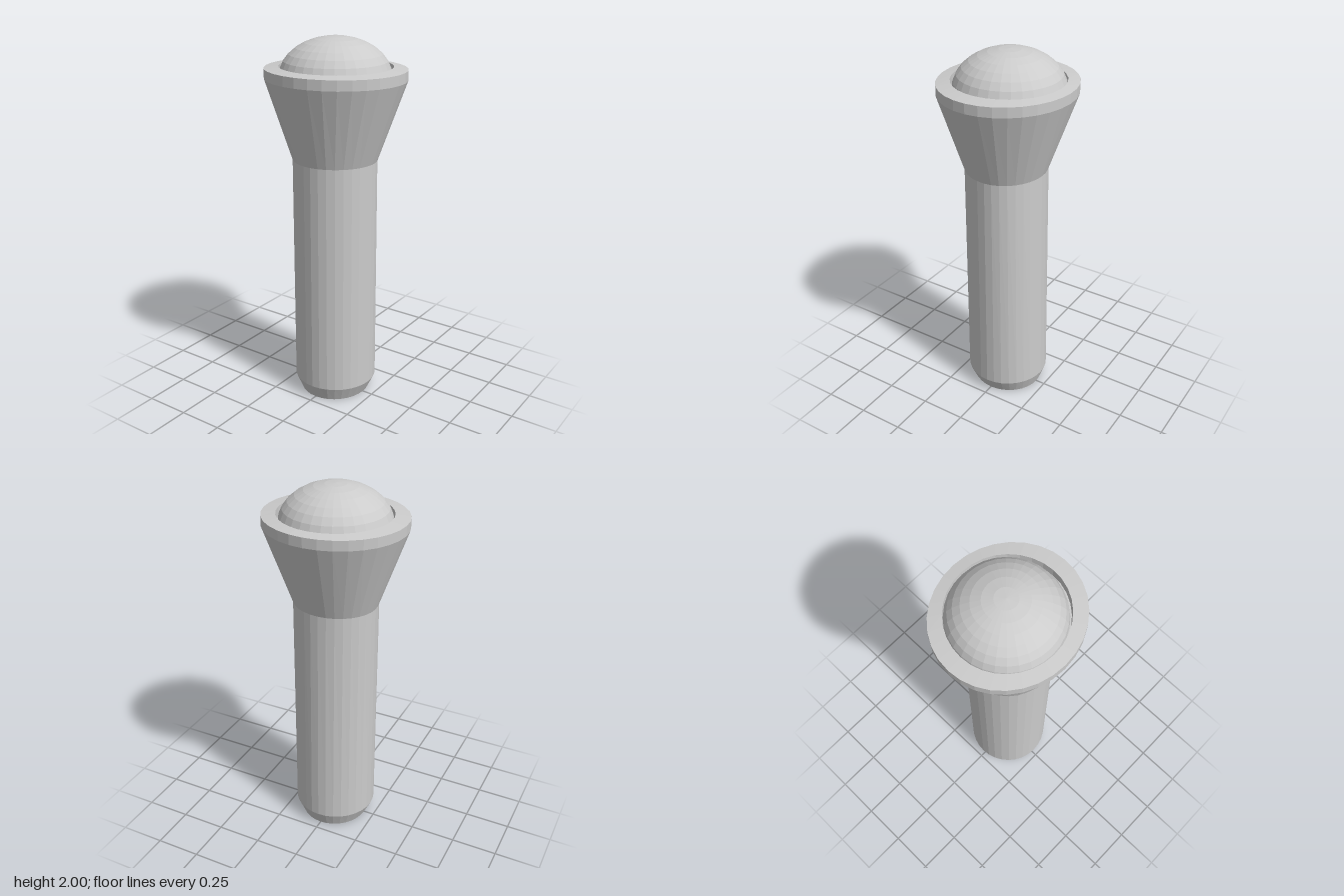
import * as THREE from 'three';

const SIDES = 32;

// Lathed part from rows of [radiusX, y, radiusFront, radiusBack]: each ring gets its own oval
function ovalLathe(name, rows, material) {
  const geometry = new THREE.LatheGeometry(rows.map(([r, y]) => new THREE.Vector2(r, y)), SIDES);
  const pos = geometry.attributes.position;
  for (let i = 0; i < pos.count; i++) {
    const [r, , front, back] = rows[i % rows.length];
    const z = pos.getZ(i);
    if (r > 0) pos.setZ(i, (z / r) * (z > 0 ? front : back));
  }
  geometry.computeVertexNormals();
  const mesh = new THREE.Mesh(geometry, material);
  mesh.name = name;
  return mesh;
}

export function createModel() {
  const group = new THREE.Group();
  group.name = 'handle';
  const material = new THREE.MeshStandardMaterial({ color: 0xcccccc, flatShading: true });

  // Shaft with chamfered foot; its back leans in slightly towards the top
  group.add(ovalLathe('shaft', [
    [0, 0, 0, 0],
    [0.19, 0, 0.2, 0.197],
    [0.229, 0.08, 0.23, 0.226],
    [0.229, 1.36, 0.23, 0.205],
  ], material));

  // Flared head with a short vertical rim and a shallow seat for the dome
  group.add(ovalLathe('flaredHead', [
    [0.229, 1.36, 0.23, 0.205],
    [0.38, 1.785, 0.353, 0.353],
    [0.38, 1.838, 0.353, 0.353],
    [0.299, 1.848, 0.286, 0.297],
    [0.297, 1.8, 0.284, 0.295],
    [0, 1.8, 0, 0],
  ], material));

  // Flattened dome resting in the seat
  const dome = new THREE.Mesh(
    new THREE.SphereGeometry(1, SIDES, 8, 0, Math.PI * 2, 0, Math.PI / 2), material);
  dome.name = 'dome';
  dome.scale.set(0.292, 0.203, 0.29);
  dome.position.set(-0.005, 1.797, -0.006);
  group.add(dome);

  return group;
}
